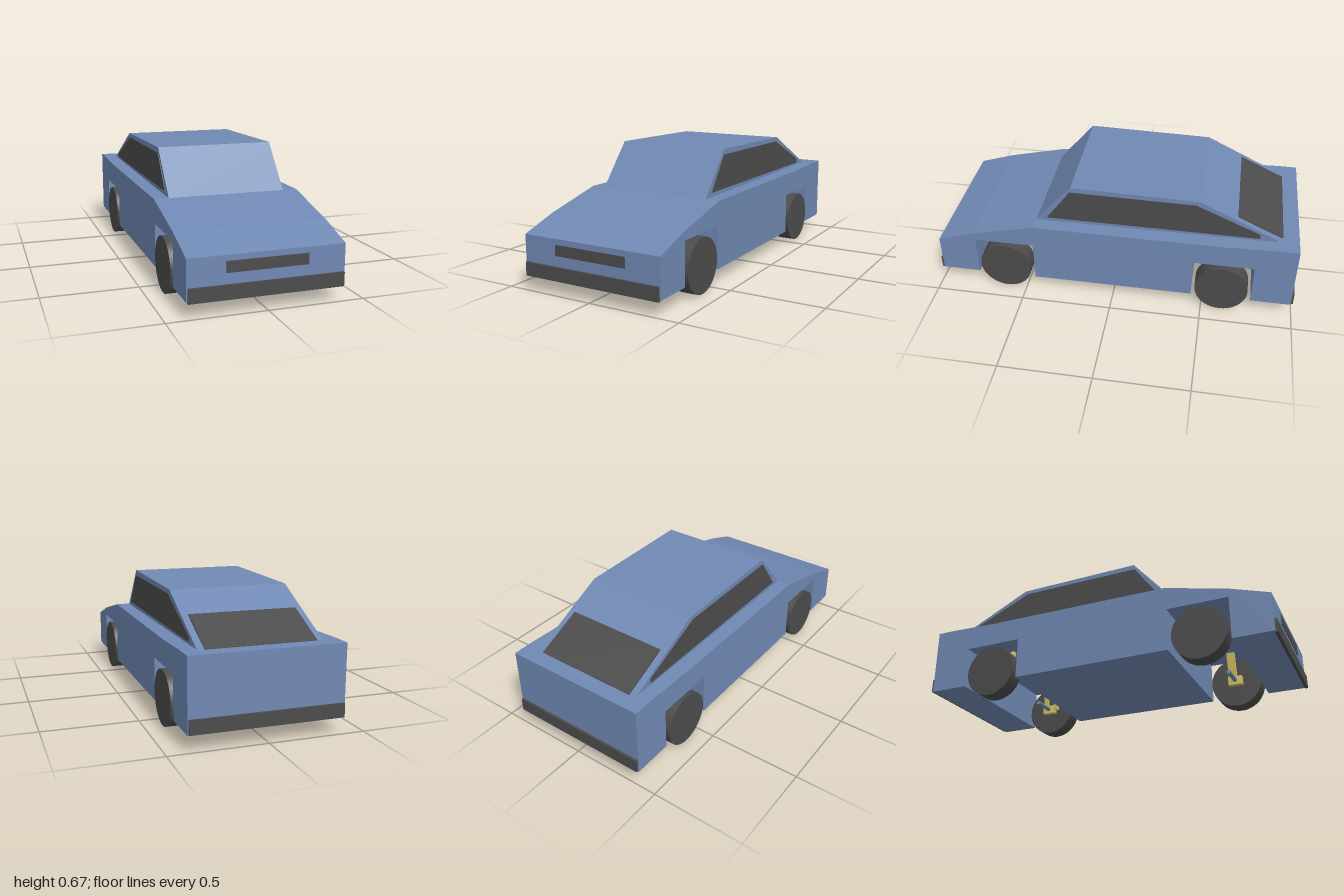
import * as THREE from 'three';

const paint = new THREE.MeshStandardMaterial({ name: 'blue paint', color: 0x7089b3 });
const dark = new THREE.MeshStandardMaterial({ name: 'dark grey', color: 0x4c4c4d });
const yellow = new THREE.MeshStandardMaterial({ name: 'yellow suspension', color: 0xdcca62 });

// Extrudes a side profile of [z, y] points across x, centred on x
function sideProfile(points, width, x = 0) {
  const shape = new THREE.Shape(points.map(([z, y]) => new THREE.Vector2(z, y)));
  const geometry = new THREE.ExtrudeGeometry(shape, { depth: width, bevelEnabled: false });
  return geometry.translate(0, 0, -width / 2).rotateY(-Math.PI / 2).translate(x, 0, 0);
}

export function createModel() {
  const car = new THREE.Group();
  car.name = 'car';

  function add(name, geometry, material, x = 0, y = 0, z = 0) {
    const mesh = new THREE.Mesh(geometry, material);
    mesh.name = name;
    mesh.position.set(x, y, z);
    car.add(mesh);
    return mesh;
  }

  // Lower body with wheel slots running through the full width
  add('lowerBody', sideProfile([
    [0.988, 0.08], [0.988, 0.287], [0.78, 0.355], [0.435, 0.438], [-0.6, 0.441],
    [-0.88, 0.45], [-0.988, 0.45], [-0.988, 0.08], [-0.77, 0.08], [-0.77, 0.31],
    [-0.44, 0.31], [-0.44, 0.08], [0.445, 0.08], [0.445, 0.31], [0.775, 0.31], [0.775, 0.08],
  ], 0.796), paint);

  // Cabin
  add('cabin', sideProfile([
    [0.435, 0.437], [0.235, 0.672], [-0.455, 0.66], [-0.89, 0.448],
  ], 0.64), paint);

  // Rear window, a thin plate along the sloping tail
  add('rearWindow', sideProfile([
    [-0.655, 0.560], [-0.655, 0.568], [-0.903, 0.4525], [-0.903, 0.446],
  ], 0.57), dark);

  // Bumpers and grille
  add('frontBumper', new THREE.BoxGeometry(0.786, 0.072, 0.016), dark, 0, 0.111, 0.992);
  add('rearBumper', new THREE.BoxGeometry(0.786, 0.072, 0.016), dark, 0, 0.119, -0.992);
  add('grille', new THREE.BoxGeometry(0.412, 0.056, 0.008), dark, 0, 0.23, 0.988);

  const tyre = new THREE.CylinderGeometry(0.145, 0.145, 0.094, 40).rotateZ(Math.PI / 2);
  const axle = new THREE.CylinderGeometry(0.012, 0.012, 0.18, 12).rotateZ(Math.PI / 2);

  for (const side of [1, -1]) {
    const label = side > 0 ? 'left' : 'right';

    add(label + 'Window', sideProfile([
      [0.372, 0.46], [0.24, 0.642], [-0.435, 0.637], [-0.78, 0.485], [-0.78, 0.46],
    ], 0.006, side * 0.32), dark);

    for (const [end, z] of [['Front', 0.612], ['Rear', -0.604]]) {
      add(label + end + 'Wheel', tyre, dark, side * 0.358, 0.145, z);
      add(label + end + 'Axle', axle, paint, side * 0.235, 0.145, z);

      // Suspension struts reaching up to the slot ceiling
      const front = end === 'Front';
      for (const offset of front ? [-0.01] : [0.052, -0.015]) {
        const strut = add(label + end + 'Strut',
          new THREE.BoxGeometry(0.022, 0.175, front ? 0.045 : 0.025), yellow,
          side * 0.272, 0.222, z + offset);
        strut.rotation.z = side * 0.17;
      }
      add(label + end + 'Hub', new THREE.BoxGeometry(0.03, 0.05, 0.08), yellow,
        side * 0.294, 0.145, z);
    }
  }
  return car;
}
